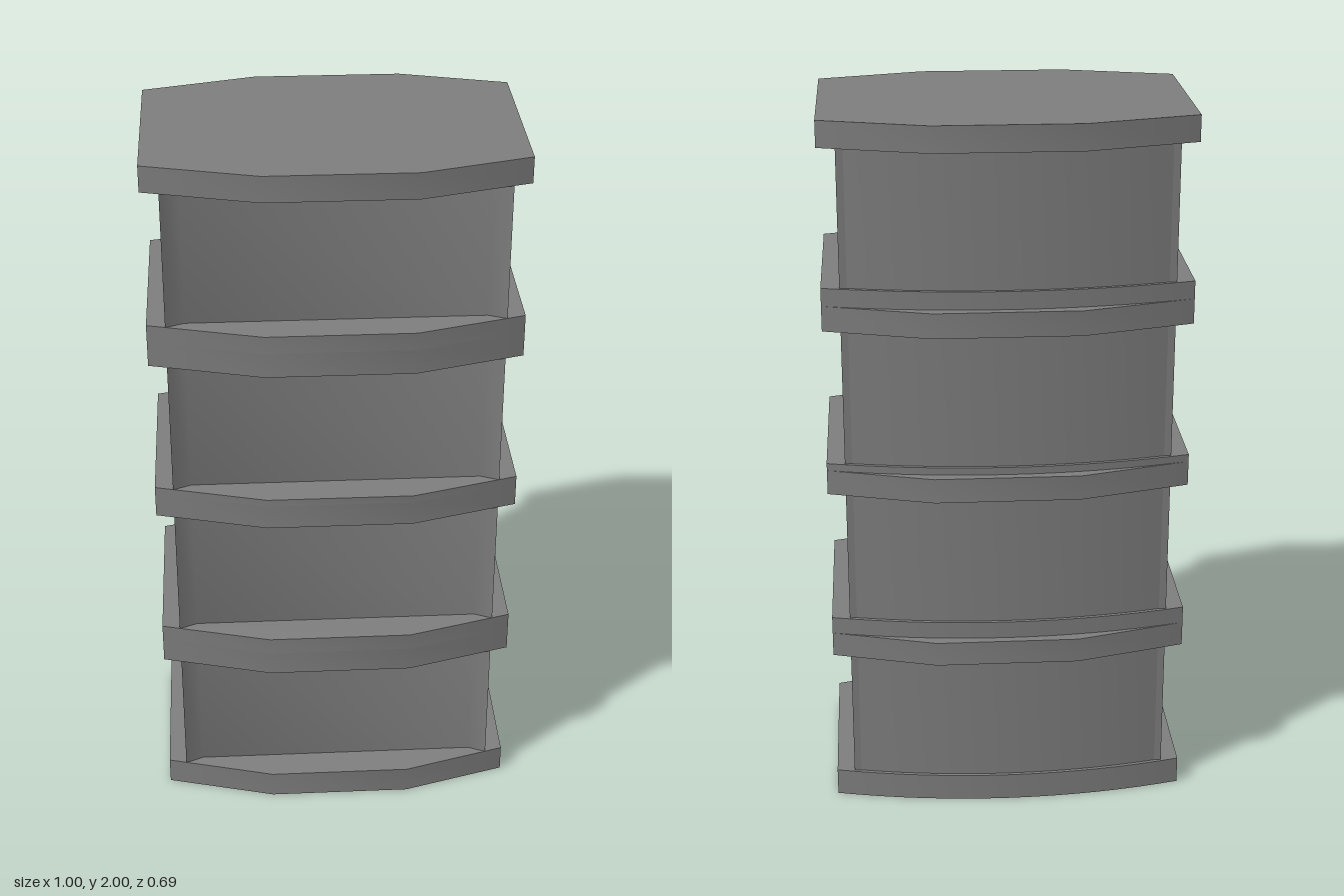
import * as THREE from 'three';
import { toCreasedNormals } from 'three/addons/utils/BufferGeometryUtils.js';

const material = new THREE.MeshStandardMaterial({ color: 0x808080 });

// Points of a shallow bow from x = w to x = -w, rising from depth edge to depth mid
function bow(w, edge, mid, steps = 16) {
  const points = [];
  for (let i = 0; i <= steps; i++) {
    const t = 1 - (2 * i) / steps;
    points.push([w * t, edge + (mid - edge) * (1 - t * t)]);
  }
  return points;
}

// Extrudes a plan outline of [x, -z] points upwards from y0 to y1
function slab(name, outline, y0, y1) {
  const shape = new THREE.Shape(outline.map(([x, y]) => new THREE.Vector2(x, y)));
  const geometry = new THREE.ExtrudeGeometry(shape, { depth: y1 - y0, bevelEnabled: false });
  geometry.rotateX(-Math.PI / 2);
  geometry.translate(0, y0, 0);
  const mesh = new THREE.Mesh(toCreasedNormals(geometry, 0.5), material);
  mesh.name = name;
  return mesh;
}

function box(name, x0, x1, y0, y1, z0, z1) {
  const mesh = new THREE.Mesh(new THREE.BoxGeometry(x1 - x0, y1 - y0, z1 - z0), material);
  mesh.position.set((x0 + x1) / 2, (y0 + y1) / 2, (z0 + z1) / 2);
  mesh.name = name;
  return mesh;
}

export function createModel() {
  const model = new THREE.Group();
  model.name = 'stackedCabinet';

  // Plan outlines: faceted front edge, then a faceted or a bowed back edge
  const front = [[-0.5, -0.26], [-0.193, -0.343], [0.207, -0.343], [0.5, -0.26]];
  const topOutline = [...front, [0.5, 0.26], [0.207, 0.343], [-0.193, 0.343], [-0.5, 0.26]];
  const baseOutline = [...front, ...bow(0.5, 0.26, 0.32)];
  const backOutline = [[-0.43, 0.22], [0.43, 0.22], ...bow(0.43, 0.265, 0.31)];

  // Front panel, sunk slightly between corners that slope in from the sides
  const frontOutline = [
    [-0.45, -0.22], [-0.45, -0.275], [-0.4, -0.253],
    [0.4, -0.253], [0.45, -0.275], [0.45, -0.22],
  ];

  // Heights of each tier: base bottom, base top, cover bottom, cover top
  const tiers = [
    [0, 0.078, 0.457, 0.527],
    [0.527, 0.576, 0.957, 1.027],
    [1.027, 1.048, 1.43, 1.5],
    [1.5, 1.55, 1.928, 2],
  ];

  tiers.forEach(([y0, y1, y2, y3], i) => {
    const tier = new THREE.Group();
    tier.name = `tier${i + 1}`;
    tier.add(slab('baseSlab', baseOutline, y0, y1));
    tier.add(slab('coverSlab', topOutline, y2, y3));

    // Recessed side panels between the front and the bowed back
    tier.add(box('sidePanels', -0.43, 0.43, y1, y2, -0.22, 0.22));
    tier.add(slab('frontPanel', frontOutline, y1, y2));
    tier.add(slab('backPanel', backOutline, y1, y2));

    // Back corner posts
    for (const s of [-1, 1]) {
      const [x0, x1] = s > 0 ? [0.41, 0.45] : [-0.45, -0.41];
      tier.add(box('backPost', x0, x1, y1, y2, -0.265, -0.22));
    }
    model.add(tier);
  });
  return model;
}
